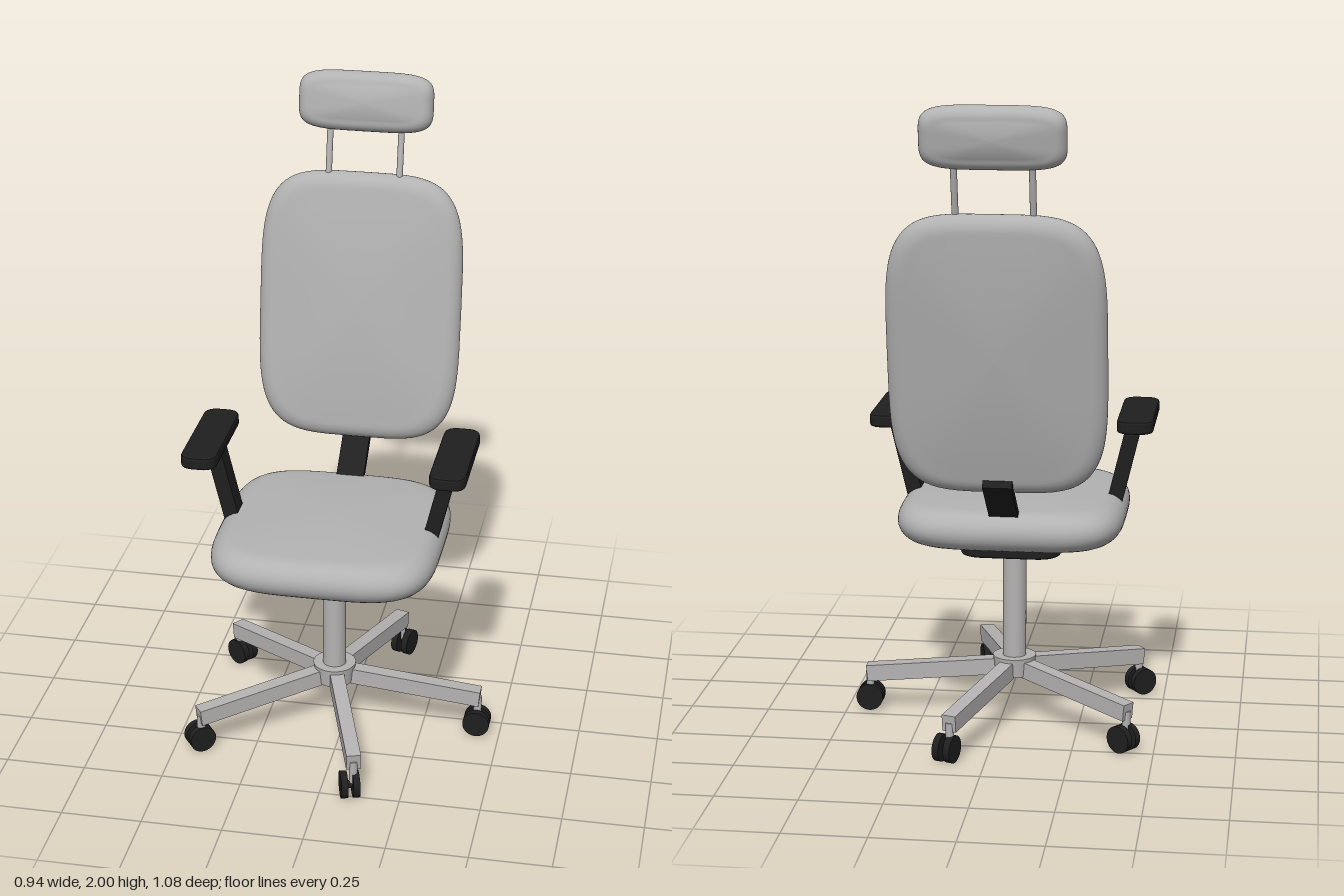
import * as THREE from 'three';

const CX = -0.038; // the chair's own centre line
const CZ = 0.051;

export function createModel() {
  const model = new THREE.Group();
  model.name = 'officeChair';

  const mat = (name, color) => {
    const m = new THREE.MeshStandardMaterial({ color });
    m.name = name;
    return m;
  };
  const fabric = mat('grey upholstery', 0xb2b2b2);
  const metal = mat('silver metal', 0xb5b2b2);
  const plastic = mat('black plastic', 0x1f1f1f);

  const add = (parent, name, geometry, material, x = 0, y = 0, z = 0) => {
    const mesh = new THREE.Mesh(geometry, material);
    mesh.name = name;
    mesh.position.set(x, y, z);
    parent.add(mesh);
    return mesh;
  };

  // Padded cushion: superellipse outline in xz, rounded edge and crowned faces along y
  function cushion(w, d, thick, edge, crown, n = 4) {
    const segs = 80, profile = [];
    const a = w / 2, b = d / 2, h = thick / 2 - crown;
    const face = (f, s) => profile.push([(a - edge) * f, (b - edge) * f, s * (h + crown * (1 - f * f))]);
    for (const f of [0, 0.25, 0.5, 0.75, 0.9]) face(f, -1);
    for (let k = -8; k <= 8; k++) {
      const t = (k / 8) * Math.PI / 2;
      const inset = edge * (1 - Math.cos(t));
      profile.push([a - inset, b - inset, h * Math.sin(t)]);
    }
    for (const f of [0.9, 0.75, 0.5, 0.25, 0]) face(f, 1);
    const pos = [], idx = [];
    const power = (v) => Math.sign(v) * Math.pow(Math.abs(v), 2 / n);
    profile.forEach(([rx, rz, y], j) => {
      for (let i = 0; i < segs; i++) {
        const u = (i / segs) * Math.PI * 2;
        pos.push(rx * power(Math.cos(u)), y, rz * power(Math.sin(u)));
        if (j === profile.length - 1) continue;
        const p = j * segs + i, q = j * segs + ((i + 1) % segs);
        idx.push(p, p + segs, q, q, p + segs, q + segs);
      }
    });
    const g = new THREE.BufferGeometry();
    g.setAttribute('position', new THREE.Float32BufferAttribute(pos, 3));
    g.setIndex(idx);
    g.computeVertexNormals();
    return g;
  }

  // Flat plate with rounded corners and a small bevel, centred, thickness along y
  function plate(w, d, thick, r, bevel) {
    const x = w / 2 - bevel, y = d / 2 - bevel;
    const s = new THREE.Shape();
    s.moveTo(-x + r, -y);
    s.lineTo(x - r, -y);
    s.quadraticCurveTo(x, -y, x, -y + r);
    s.lineTo(x, y - r);
    s.quadraticCurveTo(x, y, x - r, y);
    s.lineTo(-x + r, y);
    s.quadraticCurveTo(-x, y, -x, y - r);
    s.lineTo(-x, -y + r);
    s.quadraticCurveTo(-x, -y, -x + r, -y);
    const g = new THREE.ExtrudeGeometry(s, {
      depth: thick - 2 * bevel, bevelThickness: bevel, bevelSize: bevel, bevelSegments: 2, curveSegments: 8,
    });
    g.center();
    return g.rotateX(Math.PI / 2);
  }

  // Stretch a mesh built along y between two points
  const UP = new THREE.Vector3(0, 1, 0);
  function between(parent, name, makeGeometry, material, from, to) {
    const p = new THREE.Vector3(...from), q = new THREE.Vector3(...to);
    const dir = q.clone().sub(p);
    const mesh = add(parent, name, makeGeometry(dir.length()), material);
    mesh.position.copy(p).add(q).multiplyScalar(0.5);
    mesh.quaternion.setFromUnitVectors(UP, dir.normalize());
    return mesh;
  }

  // Upholstery
  const tilt = Math.PI / 2 - 0.165;
  add(model, 'seat', cushion(0.702, 0.702, 0.154, 0.07, 0.014), fabric, CX, 0.678, 0.079);
  add(model, 'backrest', cushion(0.648, 0.862, 0.128, 0.055, 0.022, 4.2), fabric, CX, 1.256, -0.387)
    .rotation.x = tilt;
  add(model, 'headrest', cushion(0.424, 0.187, 0.1, 0.035, 0.012, 4.4), fabric, CX, 1.903, -0.485)
    .rotation.x = tilt;

  // Headrest posts
  for (const s of [-1, 1]) {
    between(model, 'headrestPost', (l) => new THREE.CylinderGeometry(0.01, 0.01, l, 16), metal,
      [CX + s * 0.1125, 1.64, -0.441], [CX + s * 0.1125, 1.86, -0.49]);
  }

  // Backrest bracket and mechanism under the seat
  between(model, 'backBracket', (l) => new THREE.BoxGeometry(0.088, l, 0.024), plastic,
    [CX, 0.69, -0.17], [CX, 0.87, -0.388]);
  add(model, 'seatMechanism', plate(0.312, 0.336, 0.06, 0.07, 0.008), plastic, CX, 0.592, CZ);

  // Armrests, mirrored about the centre line
  for (const s of [-1, 1]) {
    const arm = new THREE.Group();
    arm.name = s > 0 ? 'leftArmrest' : 'rightArmrest';
    model.add(arm);
    between(arm, 'armSupport', (l) => new THREE.BoxGeometry(0.047, l, 0.068), plastic,
      [CX + s * 0.288, 0.61, 0.076], [CX + s * 0.375, 0.975, 0.076]);
    add(arm, 'armPad', plate(0.112, 0.366, 0.04, 0.035, 0.008), plastic, CX + s * 0.381, 0.98, 0.091);
  }

  // Gas column and hub
  add(model, 'column', new THREE.CylinderGeometry(0.037, 0.037, 0.41, 32), metal, CX, 0.37, CZ);
  add(model, 'hub', new THREE.CylinderGeometry(0.068, 0.062, 0.06, 32), metal, CX, 0.173, CZ);

  // Five-star base, each leg with a twin-wheel caster
  for (let i = 0; i < 5; i++) {
    const leg = new THREE.Group();
    leg.name = 'baseLeg' + (i + 1);
    leg.position.set(CX, 0, CZ);
    leg.rotation.y = -i * Math.PI * 2 / 5;
    model.add(leg);
    between(leg, 'spoke', (l) => new THREE.BoxGeometry(0.052, l, 0.045), metal,
      [0.03, 0.168, 0], [0.472, 0.124, 0]);
    add(leg, 'casterStem', new THREE.CylinderGeometry(0.013, 0.013, 0.075, 16), metal, 0.465, 0.088, 0);
    const axle = new THREE.CylinderGeometry(0.012, 0.012, 0.05, 12).rotateX(Math.PI / 2);
    add(leg, 'casterAxle', axle, plastic, 0.465, 0.0425, 0.012);
    for (const s of [-1, 1]) {
      const wheel = new THREE.CylinderGeometry(0.0425, 0.0425, 0.021, 28).rotateX(Math.PI / 2);
      add(leg, 'casterWheel', wheel, plastic, 0.465, 0.0425, 0.012 + s * 0.0185);
    }
  }

  return model;
}
